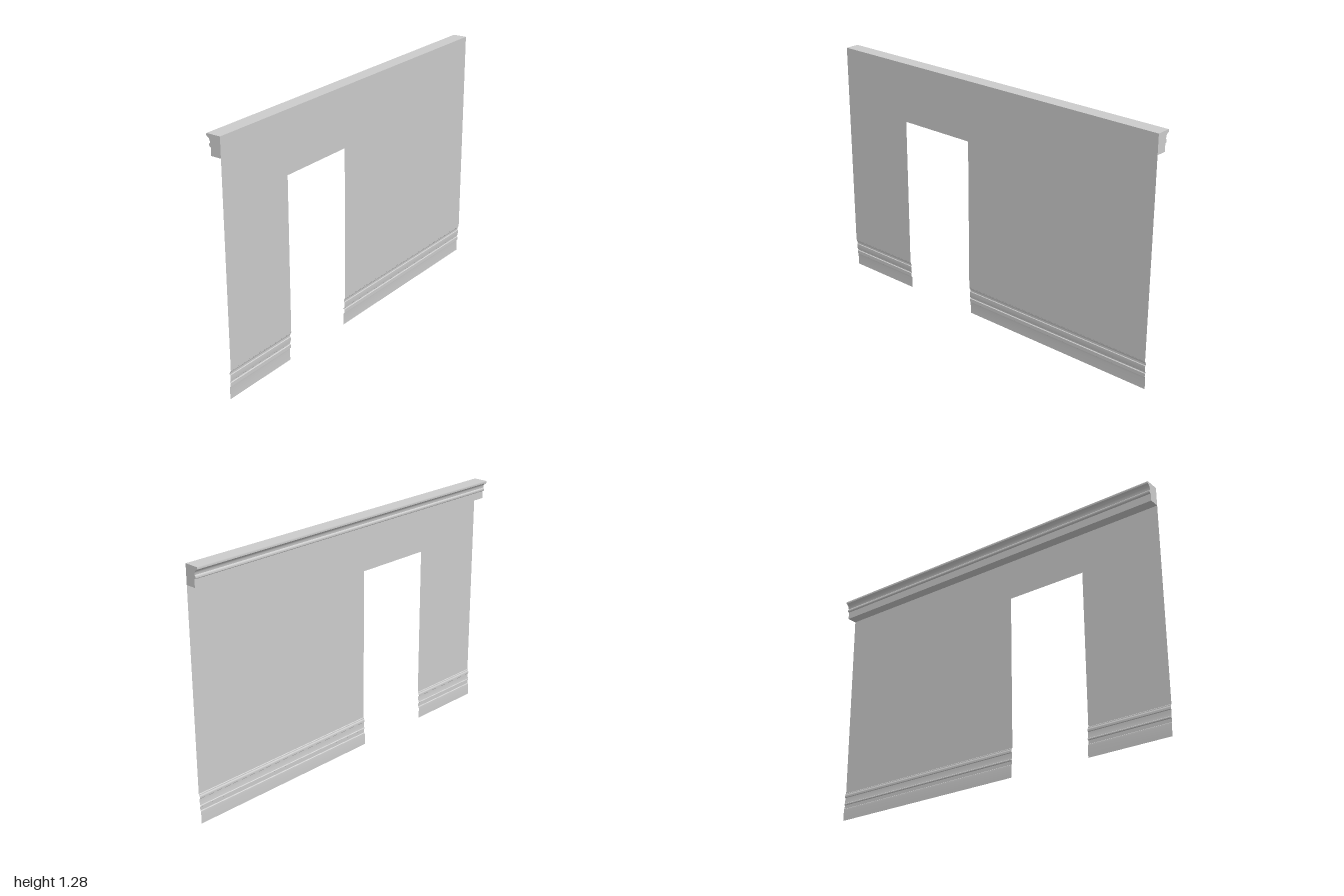
import * as THREE from 'three';
import { toCreasedNormals } from 'three/addons/utils/BufferGeometryUtils.js';

const FRONT = 0.039;                 // plane of the wall sheet
const TOP = 1.284, CORNICE = 1.185, SKIRT = 0.155;
const DOOR = { left: -0.56, right: -0.12, top: 0.97 };

// Skirting section: [distance behind the wall plane, height]
const SKIRT_PROFILE = [
  [0.010, 0], [0.010, 0.055], [0.009, 0.065], [0.005, 0.068], [0.005, 0.086],
  [0.009, 0.089], [0.009, 0.094], [0.006, 0.097], [0.004, 0.112], [0.004, 0.128],
  [0.007, 0.131], [0.008, 0.138], [0.006, 0.144], [0.003, 0.147], [0.003, 0.152], [0, SKIRT],
];

// Cornice section: [-z, y], plain at the front and moulded at the back
const CORNICE_PROFILE = [
  [-FRONT, CORNICE], [0.016, CORNICE], [0.016, 1.225], [0.021, 1.226], [0.025, 1.231],
  [0.025, 1.237], [0.021, 1.242], [0.019, 1.244], [0.020, 1.253], [0.023, 1.261],
  [0.028, 1.267], [0.034, 1.270], [0.038, 1.273], [0.039, 1.278], [0.037, TOP], [-FRONT, TOP],
];

// Sheet swept along x following the skirting section
function skirtGeometry(x0, x1) {
  const n = SKIRT_PROFILE.length;
  const geo = new THREE.PlaneGeometry(x1 - x0, 1, 1, n - 1);
  const pos = geo.attributes.position;
  for (let i = 0; i < pos.count; i++) {
    const [depth, y] = SKIRT_PROFILE[n - 1 - Math.floor(i / 2)];
    pos.setXYZ(i, i % 2 ? x1 : x0, y, FRONT - depth);
  }
  return toCreasedNormals(geo, 0.5);
}

export function createModel() {
  const group = new THREE.Group();
  const plaster = new THREE.MeshStandardMaterial({ color: 0xcccccc, side: THREE.DoubleSide });
  plaster.name = 'plaster';
  const add = (name, geo) => {
    const mesh = new THREE.Mesh(geo, plaster);
    mesh.name = name;
    group.add(mesh);
  };

  // Thin wall sheet with the doorway notched out
  const outline = [
    [-1, SKIRT], [DOOR.left, SKIRT], [DOOR.left, DOOR.top], [DOOR.right, DOOR.top],
    [DOOR.right, SKIRT], [1, SKIRT], [1, CORNICE], [-1, CORNICE],
  ].map(([x, y]) => new THREE.Vector2(x, y));
  add('wall', new THREE.ShapeGeometry(new THREE.Shape(outline)).translate(0, 0, FRONT));

  // Skirting on both sides of the doorway
  add('skirtingRight', skirtGeometry(-1, DOOR.left));
  add('skirtingLeft', skirtGeometry(DOOR.right, 1));

  // Solid cornice along the top
  const section = new THREE.Shape(CORNICE_PROFILE.map(([x, y]) => new THREE.Vector2(x, y)));
  const cornice = new THREE.ExtrudeGeometry(section, { depth: 2, bevelEnabled: false });
  cornice.rotateY(Math.PI / 2).translate(-1, 0, 0);
  add('cornice', toCreasedNormals(cornice, 0.7));

  return group;
}
